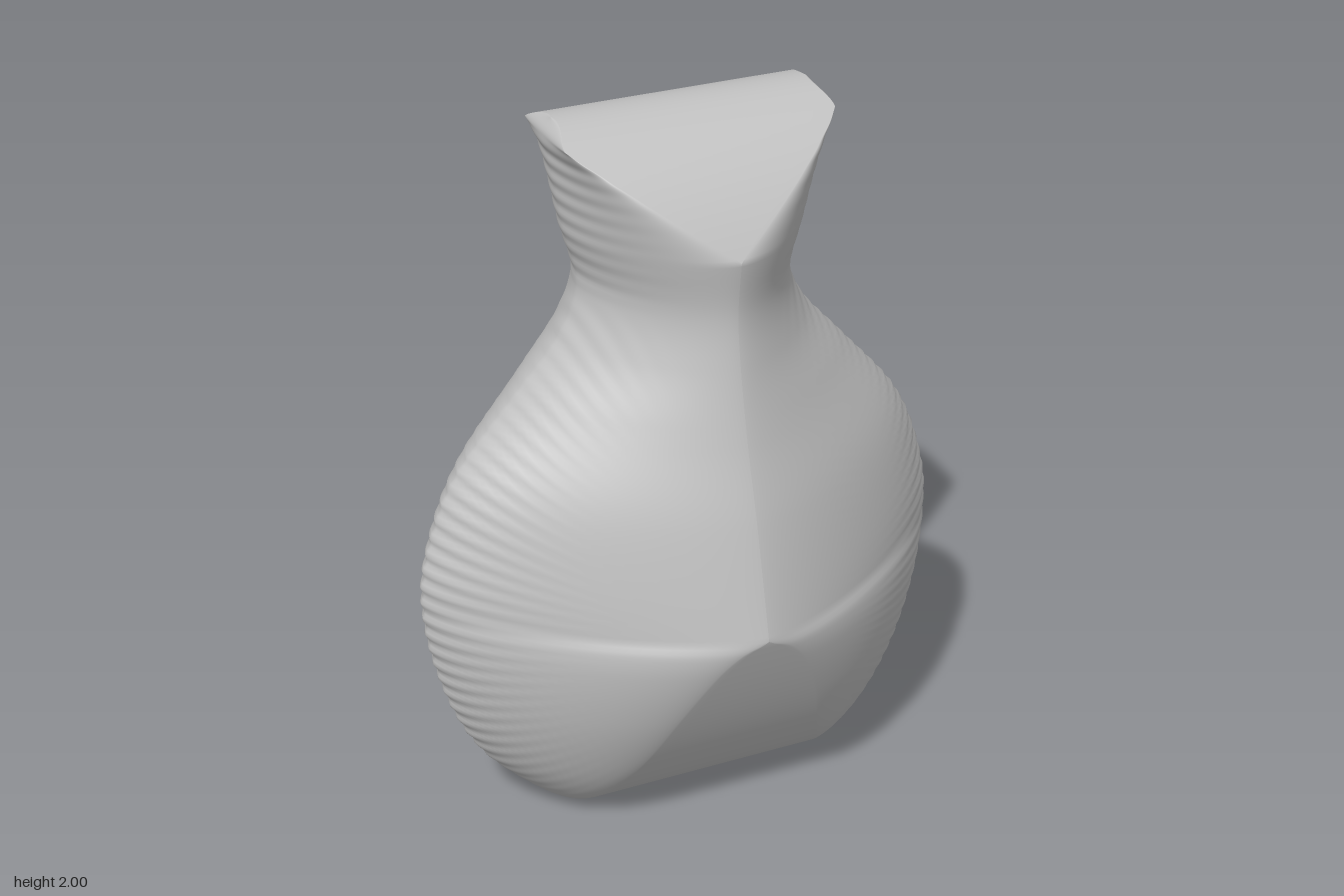
import * as THREE from 'three';

// Smooth curve through [y, value] points (cubic Hermite)
function curve(points) {
  const n = points.length;
  const slope = points.map((_, i) => {
    const a = points[Math.max(i - 1, 0)], b = points[Math.min(i + 1, n - 1)];
    return (b[1] - a[1]) / (b[0] - a[0]);
  });
  return (y) => {
    let i = 0;
    while (i < n - 2 && y > points[i + 1][0]) i++;
    const [y0, v0] = points[i], [y1, v1] = points[i + 1];
    const h = y1 - y0, t = (y - y0) / h, t2 = t * t, t3 = t2 * t;
    return v0 * (2 * t3 - 3 * t2 + 1) + slope[i] * h * (t3 - 2 * t2 + t)
      + v1 * (3 * t2 - 2 * t3) + slope[i + 1] * h * (t3 - t2);
  };
}

const BELLY = 0.7, LIP = 1.69;

// Half width of the outline seen from the front
const halfWidth = curve([[0, 0.37], [0.04, 0.445], [0.2, 0.6], [0.43, 0.7], [0.7, 0.745], [0.88, 0.715],
  [1.06, 0.635], [1.26, 0.465], [1.4, 0.345], [1.54, 0.29], [1.7, 0.325], [1.9, 0.36], [1.96, 0.374], [2, 0.35]]);
const middleDepth = curve([[0.7, 0.55], [1, 0.472], [1.2, 0.412], [1.4, 0.365], [1.54, 0.347], [1.69, 0.363]]);
// Half width of the arched base panels
const archWidth = curve([[0, 0.36], [0.06, 0.335], [0.26, 0.255], [0.44, 0.195], [0.6, 0.12], [0.67, 0.06], [0.7, 0]]);

// Half depth: rounded base, smooth body, rounded closed top
function halfDepth(y) {
  if (y < BELLY) return 0.55 * Math.sqrt(y / BELLY);
  if (y > LIP) return 0.363 * Math.sqrt(Math.max(0, 2 - y) / (2 - LIP));
  return middleDepth(y);
}

// Half width of the flat panel at the front and back
function panelWidth(y) {
  const limit = halfWidth(y) - 0.006;
  if (y < BELLY) return Math.min(limit, Math.max(0, archWidth(y)));
  if (y > LIP) return Math.min(limit, 0.37 * (y - LIP) / (1.96 - LIP));
  return 0;
}

// Fine pleats: fanned around the belly, level around the neck
function pleat(x, y, w) {
  const phase = y < 1.52 ? Math.atan2(y - BELLY, x) * 94 : y * 130;
  const fade = Math.min(1, y / 0.25, (2 - y) / 0.1, Math.abs(y - 1.52) / 0.05);
  return 1 + 0.006 * fade * Math.pow(x / w, 3) * Math.cos(phase);
}

function vaseGeometry(rows = 260, flat = 6, arc = 32) {
  const positions = [], index = [];
  let around = 0;
  for (let j = 0; j <= rows; j++) {
    const y = 1 - Math.cos((j / rows) * Math.PI);
    const w = halfWidth(y), d = halfDepth(y), f = panelWidth(y);
    const power = 2 / (1.35 + 0.3 * Math.min(1, Math.abs(y - BELLY)));
    // Quarter outline from the front centre to the side
    const quarter = [];
    for (let i = 0; i < flat; i++) quarter.push([f * i / flat, d]);
    for (let i = 0; i <= arc; i++) {
      const a = (i / arc) * Math.PI / 2;
      const x = f + (w - f) * Math.pow(Math.sin(a), power);
      const z = i === arc ? 0 : d * Math.pow(Math.cos(a), power);
      quarter.push([x * pleat(x, y, w), z]);
    }
    // Mirror into a full ring
    const right = [...quarter, ...quarter.slice(0, -1).reverse().map(([x, z]) => [x, -z])];
    const ring = [...right, ...right.slice(1, -1).reverse().map(([x, z]) => [-x, z])];
    around = ring.length;
    for (const [x, z] of ring) positions.push(x, y, z);
  }
  for (let j = 0; j < rows; j++) {
    for (let i = 0; i < around; i++) {
      const a = j * around + i, b = j * around + (i + 1) % around;
      index.push(a, b, a + around, b, b + around, a + around);
    }
  }
  const geometry = new THREE.BufferGeometry();
  geometry.setAttribute('position', new THREE.Float32BufferAttribute(positions, 3));
  geometry.setIndex(index);
  geometry.computeVertexNormals();
  return geometry;
}

export function createModel() {
  const model = new THREE.Group();
  model.name = 'pleatedVase';
  const clay = new THREE.MeshStandardMaterial({ color: 0xc0c0c0 });
  clay.name = 'light grey';
  const body = new THREE.Mesh(vaseGeometry(), clay);
  body.name = 'vaseBody';
  model.add(body);
  return model;
}
